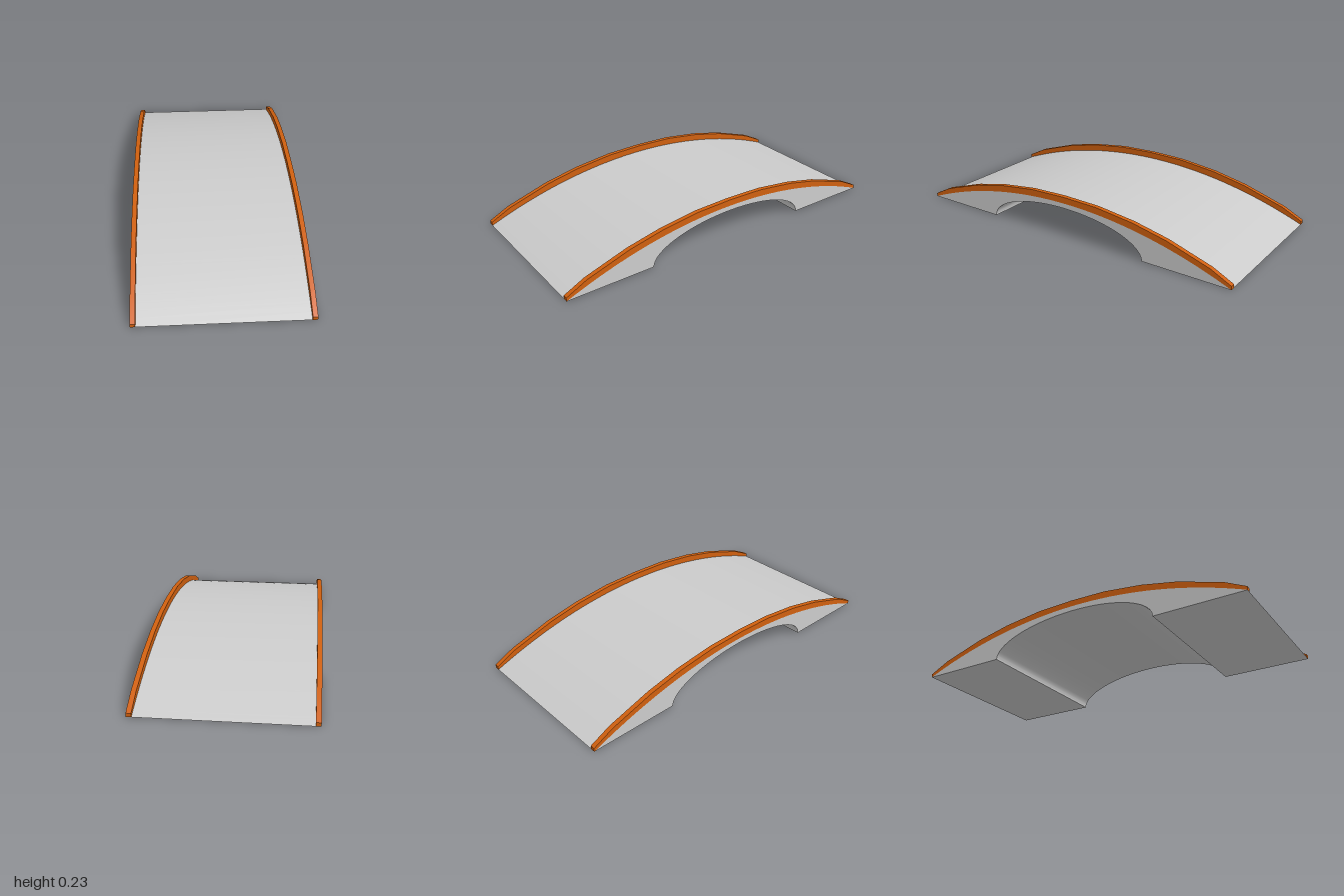
import * as THREE from 'three';
import { toCreasedNormals } from 'three/addons/utils/BufferGeometryUtils.js';

const RISE = 0.196, WIDTH = 0.91, RAIL = 0.026;
const RADIUS = (1 + RISE * RISE) / (2 * RISE);

// Points of the circular deck line, from z = -1 to z = 1
function deckLine(segments = 48) {
  const half = Math.asin(1 / RADIUS);
  return Array.from({ length: segments + 1 }, (_, i) => {
    const a = half * (2 * i / segments - 1);
    return new THREE.Vector2(RADIUS * Math.sin(a), RISE - RADIUS * (1 - Math.cos(a)));
  });
}

// Extrude a side profile (z, y) across x, centred
function acrossWidth(shape, depth) {
  const g = new THREE.ExtrudeGeometry(shape, { depth, bevelEnabled: false, curveSegments: 40 });
  g.translate(0, 0, -depth / 2).rotateY(-Math.PI / 2);
  return toCreasedNormals(g, 0.45);
}

export function createModel() {
  const model = new THREE.Group();
  model.name = 'archedBridge';
  const grey = new THREE.MeshStandardMaterial({ color: 0xcccccc });
  const orange = new THREE.MeshStandardMaterial({ color: 0xd0600f });

  // Solid arched deck with an elliptical opening beneath
  const profile = new THREE.Shape(deckLine());
  profile.lineTo(0.5, 0);
  profile.absellipse(0, 0, 0.5, 0.168, 0, Math.PI, false);
  profile.closePath();
  const deck = new THREE.Mesh(acrossWidth(profile, WIDTH), grey);
  deck.name = 'deck';
  model.add(deck);

  // Low curbs along both edges, with a faceted top
  const half = [[1, 0.02], [0.885, 0.077], [0.64, 0.155], [0.44, 0.198], [0.215, 0.226]];
  const top = [
    ...half,
    [0, 0.232],
    ...half.map(([z, y]) => [-z, y]).reverse(),
  ].map(([z, y]) => new THREE.Vector2(z, y));
  const railGeometry = acrossWidth(new THREE.Shape([...deckLine(), ...top]), RAIL);
  for (const [name, side] of [['leftRail', 1], ['rightRail', -1]]) {
    const rail = new THREE.Mesh(railGeometry, orange);
    rail.name = name;
    rail.position.x = side * (WIDTH - RAIL) / 2;
    model.add(rail);
  }
  return model;
}
